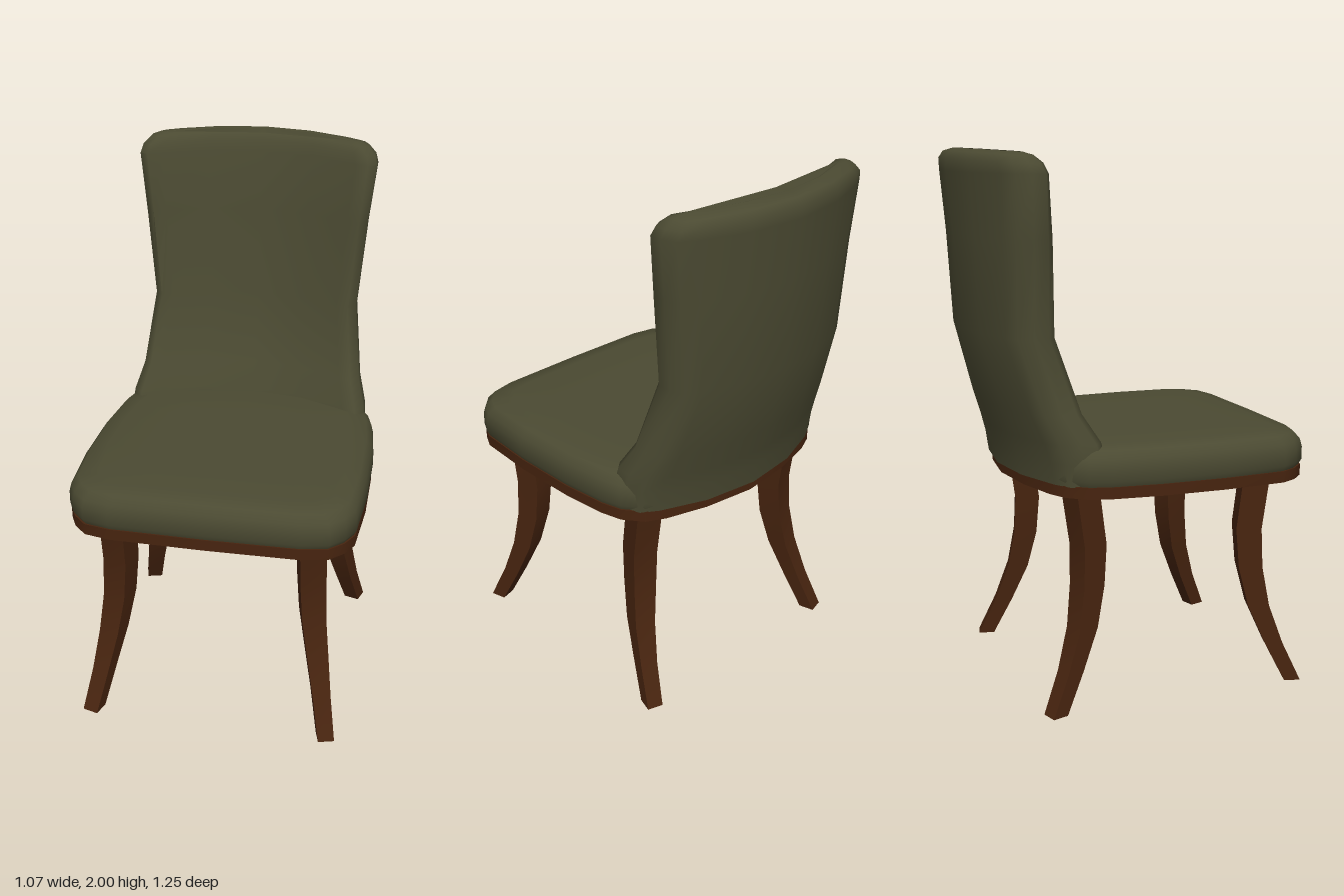
import * as THREE from 'three';
import { toCreasedNormals } from 'three/addons/utils/BufferGeometryUtils.js';

const fabric = new THREE.MeshStandardMaterial({ color: 0x4b4a32 });
fabric.name = 'olive fabric';
const wood = new THREE.MeshStandardMaterial({ color: 0x47240f });
wood.name = 'dark wood';

// Skin a stack of rings (bottom to top, counter-clockwise from above) and cap both ends
function loft(rings, crease) {
  const n = rings[0].length, pos = rings.flat(2), idx = [];
  for (let r = 0; r < rings.length - 1; r++) {
    for (let i = 0; i < n; i++) {
      const a = r * n + i, b = r * n + (i + 1) % n;
      idx.push(a, b, b + n, a, b + n, a + n);
    }
  }
  const cap = (ring, start, up) => {
    const c = pos.length / 3;
    for (let k = 0; k < 3; k++) pos.push(ring.reduce((s, p) => s + p[k], 0) / n);
    for (let i = 0; i < n; i++) {
      const a = start + i, b = start + (i + 1) % n;
      idx.push(c, up ? a : b, up ? b : a);
    }
  };
  cap(rings[0], 0, false);
  cap(rings[rings.length - 1], (rings.length - 1) * n, true);
  const g = new THREE.BufferGeometry();
  g.setAttribute('position', new THREE.Float32BufferAttribute(pos, 3));
  g.setIndex(idx);
  return toCreasedNormals(g, crease);
}

// Complete a half ring that runs from the front centre round +x to the back centre
const mirrorRing = (half) =>
  [...half, ...half.slice(1, -1).reverse().map(([x, y, z]) => [-x, y, z])];

// Half outline of the seat as [x, z]
const outline = [[0, 0.62], [0.345, 0.615], [0.44, 0.595], [0.49, 0.545], [0.52, 0.485],
  [0.533, 0.25], [0.527, 0], [0.507, -0.18], [0.485, -0.26], [0.43, -0.33],
  [0.36, -0.365], [0.2, -0.41], [0, -0.435]];

const seatRing = (y, inset) => {
  const s = 1 - inset / 0.53;
  return mirrorRing(outline.map(([x, z]) => [x * s, y, 0.09 + (z - 0.09) * s]));
};

// Curved slab section: y, half width, front centre z, back centre z
function backRing([y, w, fc, bc]) {
  const t = fc - bc;
  const front = (u) => fc + 0.75 * (u * w) ** 2;
  const back = (u) => bc + 0.63 * (u * w) ** 2;
  const side = (k) => THREE.MathUtils.lerp(front(1), back(1), k);
  const crown = y > 1.95 ? 0.06 : 0;
  return mirrorRing([
    [0, front(0)], [0.45, front(0.45)], [0.82, front(0.82)], [0.93, front(0.93) - 0.08 * t],
    [1, side(0.35)], [1, side(0.68)],
    [0.95, back(0.95) + 0.04 * t], [0.82, back(0.82)], [0.45, back(0.45)], [0, back(0)],
  ].map(([u, z]) => [u * w, y - crown * (u * w) ** 2, z]));
}

const backLevels = [
  [0.84, 0.47, -0.3, -0.45], [0.92, 0.47, -0.31, -0.462], [0.99, 0.465, -0.325, -0.48],
  [1.09, 0.435, -0.37, -0.51], [1.36, 0.402, -0.44, -0.58], [1.7, 0.432, -0.47, -0.6],
  [1.92, 0.457, -0.505, -0.62], [1.965, 0.447, -0.515, -0.622], [1.99, 0.42, -0.53, -0.605],
  [2.0, 0.39, -0.56, -0.57],
];

// Sabre leg path: y, x, z, square width
const legPath = [[0, 0.45, 0.575, 0.061], [0.15, 0.42, 0.507, 0.067], [0.3, 0.392, 0.452, 0.08],
  [0.45, 0.37, 0.425, 0.09], [0.6, 0.362, 0.418, 0.096], [0.81, 0.362, 0.447, 0.099]];

function legGeometry(sx, isFront) {
  const turn = 0.28;
  const rings = legPath.map(([y, x, z, s]) => {
    const ring = [];
    for (let k = 0; k < 4; k++) {
      const a = turn - Math.PI / 4 + Math.PI / 2 * (k + 1);
      const px = x + Math.sin(a) * s * Math.SQRT1_2, pz = z + Math.cos(a) * s * Math.SQRT1_2;
      ring.push([sx * px, y, isFront ? pz : 0.197 - pz]);
    }
    return (sx > 0) === isFront ? ring : ring.reverse();
  });
  return loft(rings, 0.6);
}

export function createModel() {
  const group = new THREE.Group();
  group.name = 'diningChair';
  const add = (name, geometry, material) => {
    const mesh = new THREE.Mesh(geometry, material);
    mesh.name = name;
    group.add(mesh);
  };

  // Wooden rail under the seat
  add('seatRail', loft([seatRing(0.8, 0), seatRing(0.842, 0)], 0.6), wood);

  // Upholstered seat with a rounded upper edge
  add('seatCushion', loft([
    seatRing(0.84, 0.006), seatRing(0.862, -0.004), seatRing(0.91, -0.004), seatRing(0.94, 0.003),
    seatRing(0.968, 0.025), seatRing(0.979, 0.09), seatRing(0.982, 0.25),
  ], 1.0), fabric);

  // Curved upholstered backrest
  add('backrest', loft(backLevels.map(backRing), 1.1), fabric);

  // Four splayed legs
  for (const sx of [1, -1]) {
    const side = sx > 0 ? 'Left' : 'Right';
    add('frontLeg' + side, legGeometry(sx, true), wood);
    add('backLeg' + side, legGeometry(sx, false), wood);
  }
  return group;
}
